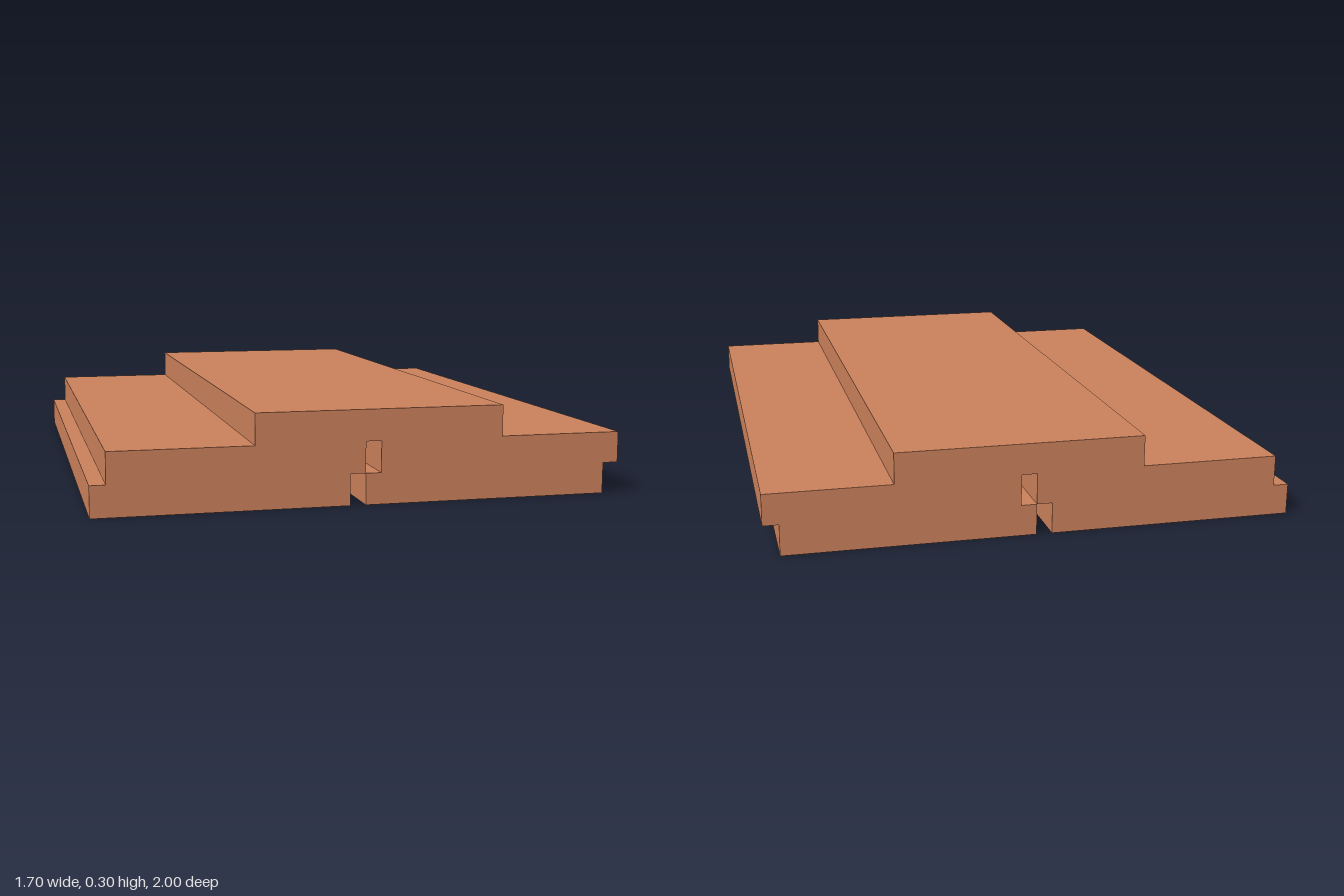
import * as THREE from 'three';

const LENGTH = 2;
const STEP = 0.1; // height of each ledge
const LAP = 0.05; // sideways offset of the half-lap edges
const WIDTH = 0.8;

export function createModel() {
  const group = new THREE.Group();
  group.name = 'lappedBoards';
  const terracotta = new THREE.MeshStandardMaterial({ color: 0xc97f5a });
  terracotta.name = 'terracotta';

  // Extrudes a cross-section along the full length, centred on z
  function addBoard(name, points) {
    const shape = new THREE.Shape(points.map(([x, y]) => new THREE.Vector2(x, y)));
    const geometry = new THREE.ExtrudeGeometry(shape, { depth: LENGTH, bevelEnabled: false });
    geometry.translate(0, 0, -LENGTH / 2);
    const mesh = new THREE.Mesh(geometry, terracotta);
    mesh.name = name;
    group.add(mesh);
  }

  // Lower boards: the upper half of each is shifted sideways by the lap
  const lowerBoards = [['rightLowerBoard', -0.85], ['leftLowerBoard', 0]];
  for (const [name, x] of lowerBoards) {
    addBoard(name, [
      [x, 0], [x + WIDTH, 0], [x + WIDTH, STEP], [x + WIDTH + LAP, STEP],
      [x + WIDTH + LAP, 2 * STEP], [x + LAP, 2 * STEP], [x + LAP, STEP], [x, STEP],
    ]);
  }

  // Cover board bridging the gap between the lower boards
  addBoard('coverBoard', [
    [-0.35, 2 * STEP], [0.45, 2 * STEP], [0.45, 3 * STEP], [-0.35, 3 * STEP],
  ]);

  return group;
}
